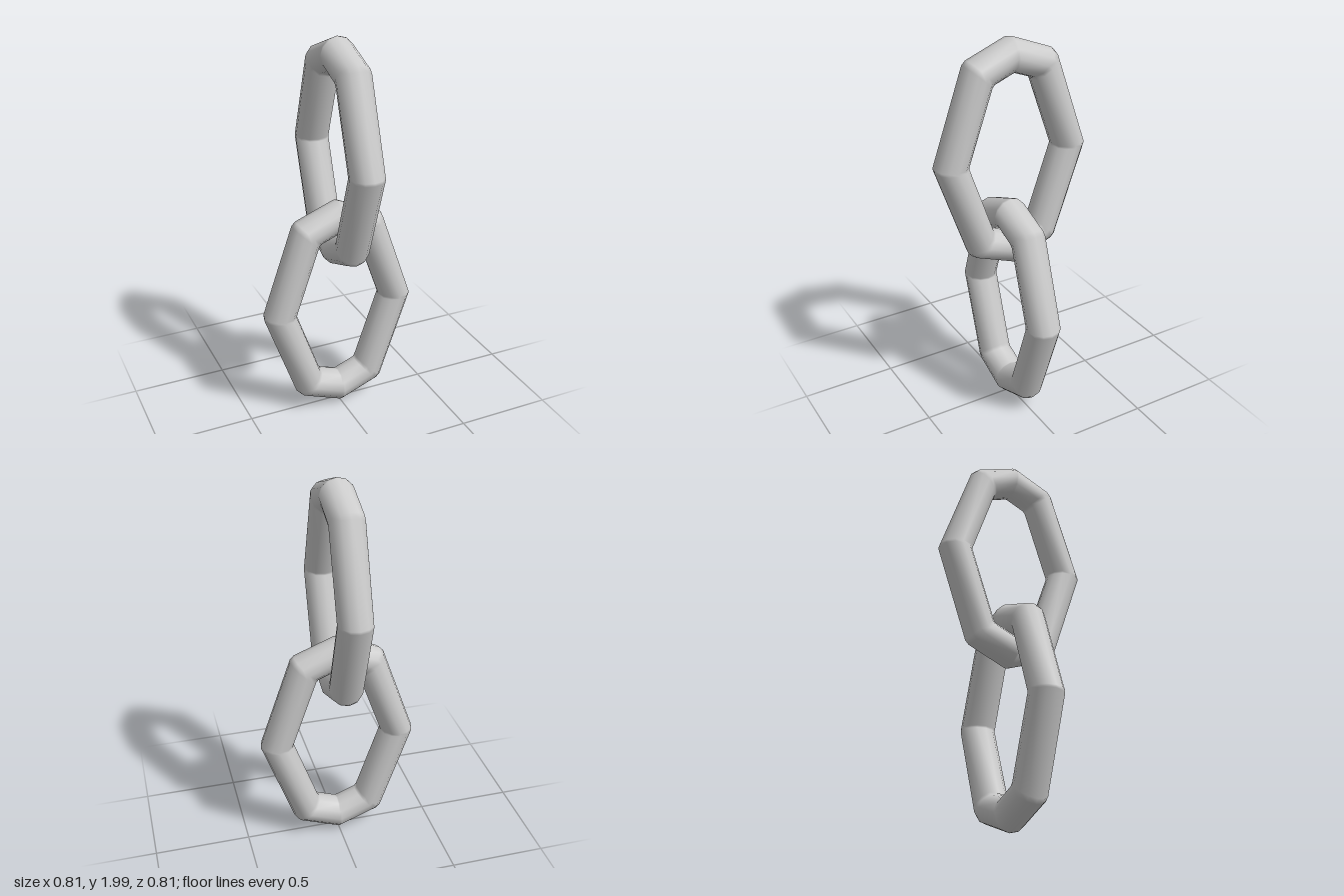
import * as THREE from 'three';

const SIDES = 12;
const THICK = 0.087;

// One quarter of the link: outer and inner corner of each mitred joint [ox, oy, ix, iy]
const SIDE = [0.41, 0, 0.238, 0];
const SHOULDER = [0.236, 0.496, 0.107, 0.374];
const TIP = [0, 0.588, 0, 0.415];
const flip = (c, sx, sy) => c.map((v, i) => v * (i % 2 ? sy : sx));

function linkGeometry() {
  const joints = [
    SIDE, SHOULDER, TIP, flip(SHOULDER, -1, 1),
    flip(SIDE, -1, 1), flip(SHOULDER, -1, -1), flip(TIP, 1, -1), flip(SHOULDER, 1, -1),
  ];
  // Two rings close to every joint give it a narrow bevel between straight bars
  const rings = [];
  joints.forEach((c, i) => {
    const width = i % 2 ? 0.016 : 0.008;
    for (const step of [-1, 1]) {
      const n = joints[(i + step + 8) % 8];
      const t = width / Math.hypot(n[0] - c[0], n[1] - c[1]);
      rings.push(c.map((v, k) => v + (n[k] - v) * t));
    }
  });

  const positions = [], index = [];
  rings.forEach(([ox, oy, ix, iy], r) => {
    for (let s = 0; s < SIDES; s++) {
      const a = (s / SIDES) * Math.PI * 2;
      const u = (1 + Math.cos(a)) / 2;
      positions.push(ix + (ox - ix) * u, iy + (oy - iy) * u, Math.sin(a) * THICK);
      const next = ((r + 1) % rings.length) * SIDES;
      const s2 = (s + 1) % SIDES;
      const p = r * SIDES + s, q = next + s, m = next + s2, n = r * SIDES + s2;
      index.push(p, q, m, p, m, n);
    }
  });
  const geometry = new THREE.BufferGeometry();
  geometry.setAttribute('position', new THREE.Float32BufferAttribute(positions, 3));
  geometry.setIndex(index);
  geometry.computeVertexNormals();
  return geometry;
}

export function createModel() {
  const group = new THREE.Group();
  group.name = 'chain';
  const material = new THREE.MeshStandardMaterial({ color: 0xcccccc });
  const geometry = linkGeometry();

  // Lower link faces the front
  const lower = new THREE.Mesh(geometry, material);
  lower.name = 'lowerLink';
  lower.position.y = 0.588;

  // Upper link is turned a quarter and hooks through the lower one
  const upper = new THREE.Mesh(geometry, material);
  upper.name = 'upperLink';
  upper.position.y = 1.412;
  upper.rotation.y = Math.PI / 2;

  group.add(lower, upper);
  return group;
}
